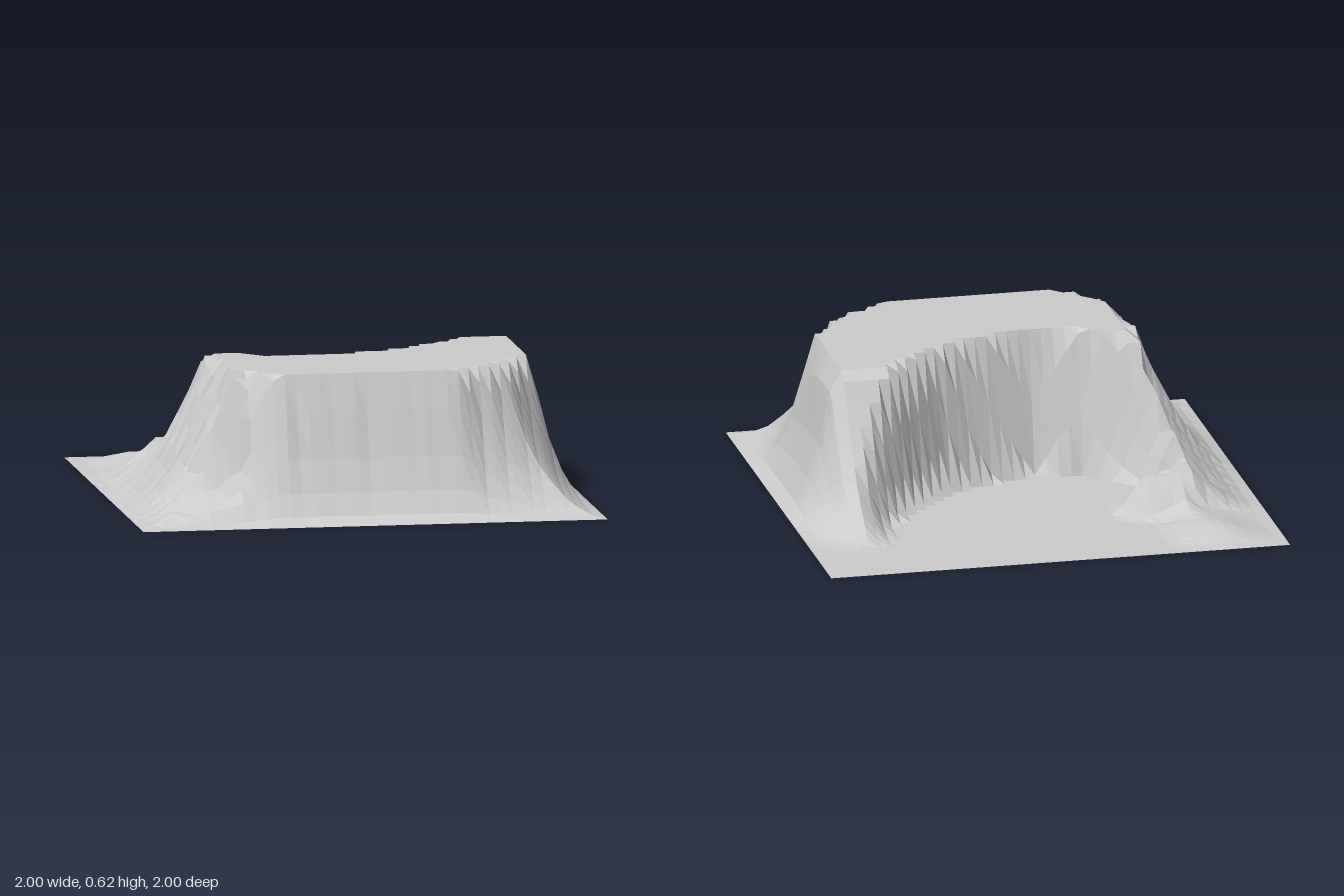
import * as THREE from 'three';

const TOP = 0.62; // plateau height
const CELLS = 40;

const toPoints = list => list.map(([x, z]) => new THREE.Vector2(x, z));

// outline of the raised land, including the two ridges reaching backwards
const raised = toPoints([
  [-0.36, 0.76], [0.38, 0.76], [0.52, 0.67], [0.63, 0.57], [0.76, 0.4], [0.78, 0.1], [0.78, -0.12],
  [0.75, -0.7], [-0.65, -0.6], [-0.72, -0.3], [-0.68, -0.1], [-0.58, 0.1], [-0.56, 0.3],
  [-0.52, 0.55], [-0.48, 0.7],
]);

// outline of the flat basin cut into the back
const basin = toPoints([
  [0.78, -1.01], [0.75, -0.75], [0.65, -0.6], [0.62, -0.42], [0.52, -0.27], [0.4, -0.13], [0.25, 0],
  [0.12, 0.07], [0, 0.11], [-0.15, 0.15], [-0.35, 0.1], [-0.45, 0.02], [-0.6, -0.1], [-0.6, -0.22],
  [-0.56, -0.3], [-0.4, -0.36], [-0.35, -0.42], [-0.42, -0.55], [-0.55, -0.6], [-0.5, -0.7], [-0.5, -1.01],
]);

// distance from a point to an outline, zero inside it
function distanceOutside(p, outline) {
  let inside = false, best = Infinity;
  outline.forEach((a, i) => {
    const b = outline[(i + 1) % outline.length];
    if ((a.y > p.y) !== (b.y > p.y) && p.x < a.x + (b.x - a.x) * (p.y - a.y) / (b.y - a.y)) inside = !inside;
    const ab = b.clone().sub(a);
    const t = THREE.MathUtils.clamp(p.clone().sub(a).dot(ab) / ab.lengthSq(), 0, 1);
    best = Math.min(best, p.distanceTo(a.clone().addScaledVector(ab, t)));
  });
  return inside ? 0 : best;
}

// fall of the left-hand ridge: [z, share of the full height]
const ridgeFall = [[-1, 0], [-0.7, 0.05], [-0.55, 0.13], [-0.45, 0.27], [-0.3, 0.3], [-0.1, 0.4], [0, 0.6], [0.12, 1], [1, 1]];

function ridgeShare(x, z) {
  if (x > 0) return Math.pow(THREE.MathUtils.clamp((z + 0.7) / 0.57, 0, 1), 1.7);
  const i = Math.max(1, ridgeFall.findIndex(([stop]) => z <= stop + 1e-6));
  const [z0, h0] = ridgeFall[i - 1], [z1, h1] = ridgeFall[i];
  return h0 + (h1 - h0) * (z - z0) / (z1 - z0);
}

// repeatable roughness from -1 to 1
function rough(a, b) {
  const s = Math.sin(a * 127.1 + b * 311.7) * 43758.5453;
  return 2 * (s - Math.floor(s)) - 1;
}

function heightAt(x, z) {
  const p = new THREE.Vector2(x, z);
  const edge = Math.max(0, 1 - Math.max(Math.abs(x), Math.abs(z)));
  if (edge < 1e-4) return 0;
  const row = Math.round(z * 20), column = Math.round(x * 20);
  const out = distanceOutside(p, raised);
  // concave outer slope, rougher on one side
  let s = edge / (edge + out);
  if (out > 0) s *= 1 + (x < -0.5 ? 0.11 * rough(row, 1) + 0.04 * rough(row, column) : 0.02 * rough(column, 2));
  const slope = Math.min(1, Math.pow(s, 1.8));
  // low mound in the back corner
  const mound = 0.045 * Math.exp(-((x + 0.72) ** 2 + (z + 0.8) ** 2) / 0.025);
  const cliff = Math.min(1, distanceOutside(p, basin) / 0.1);
  return cliff * (TOP * slope * ridgeShare(x, z) + mound * Math.min(1, edge / 0.1));
}

export function createModel() {
  const group = new THREE.Group();
  group.name = 'landscape';

  // square grid lifted into a plateau with a cliff-edged basin
  const geometry = new THREE.PlaneGeometry(2, 2, CELLS, CELLS);
  geometry.rotateX(-Math.PI / 2).rotateY(Math.PI / 2);
  const position = geometry.attributes.position;
  for (let i = 0; i < position.count; i++) {
    position.setY(i, heightAt(position.getX(i), position.getZ(i)));
  }
  geometry.computeVertexNormals();

  const terrain = new THREE.Mesh(geometry, new THREE.MeshStandardMaterial({
    color: 0xcccccc, flatShading: true, side: THREE.DoubleSide,
  }));
  terrain.name = 'terrain';
  group.add(terrain);
  return group;
}
